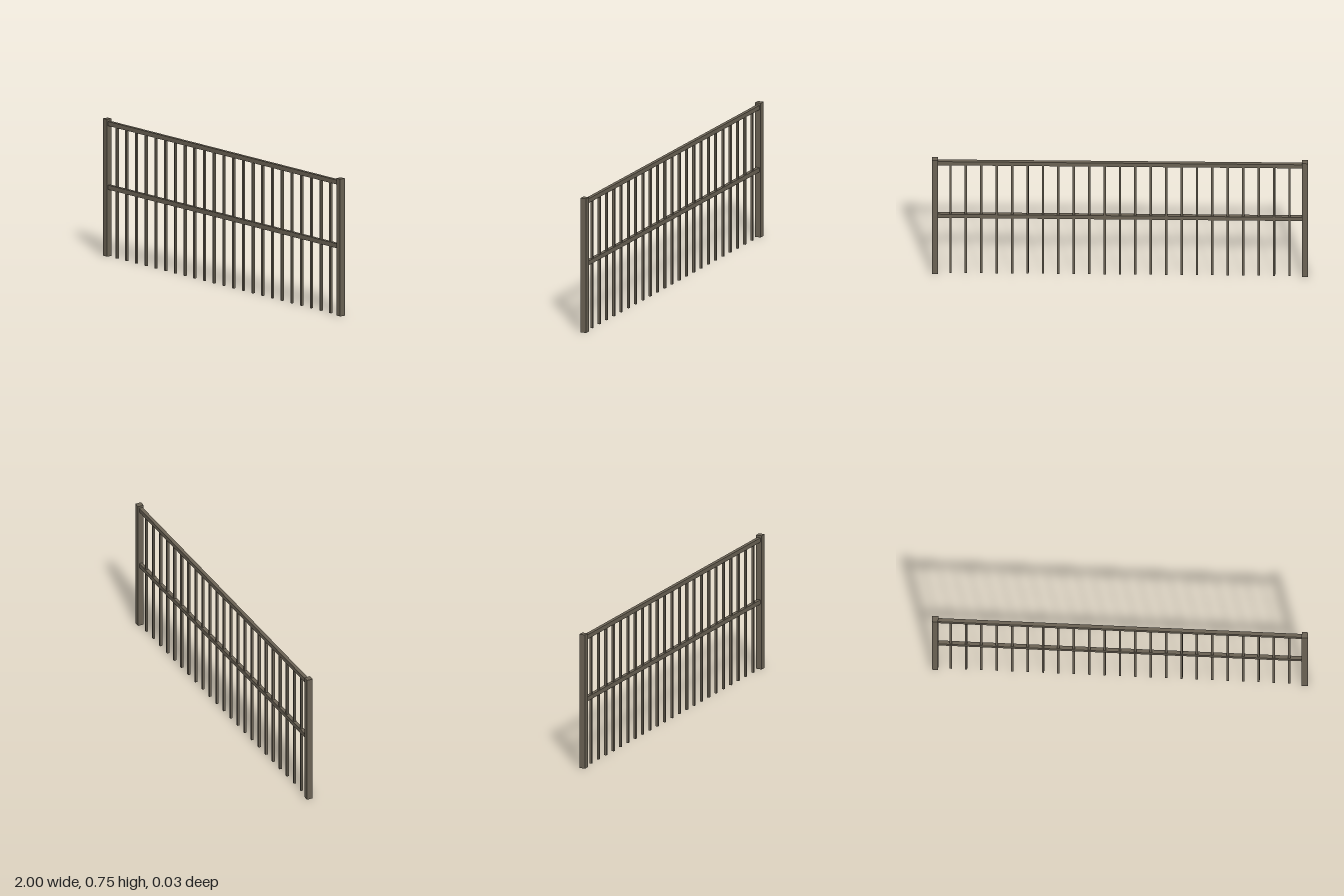
import * as THREE from 'three';

export function createModel() {
  const model = new THREE.Group();
  model.name = 'railing';
  const material = new THREE.MeshStandardMaterial({ color: 0x6b6355 });

  // Box given by its size, centre x and bottom y
  function addBox(name, w, h, d, x, y) {
    const mesh = new THREE.Mesh(new THREE.BoxGeometry(w, h, d), material);
    mesh.name = name;
    mesh.position.set(x, y + h / 2, 0);
    model.add(mesh);
  }

  const post = 0.033, height = 0.746;
  const railLength = 2 - 2 * post;
  const topRailY = 0.71, railHeight = 0.024, railDepth = 0.02;

  // End posts
  addBox('leftPost', post, height, post, 1 - post / 2, 0);
  addBox('rightPost', post, height, post, -1 + post / 2, 0);

  // Horizontal rails between the posts
  addBox('topRail', railLength, railHeight, railDepth, 0, topRailY);
  addBox('middleRail', railLength, railHeight, railDepth, 0, 0.364);

  // Evenly spaced square balusters, standing on the ground up to the top rail
  const count = 23, spacing = 0.0819;
  for (let i = 0; i < count; i++) {
    addBox(`baluster${i + 1}`, 0.0125, topRailY, 0.0125, (i - (count - 1) / 2) * spacing, 0);
  }
  return model;
}
